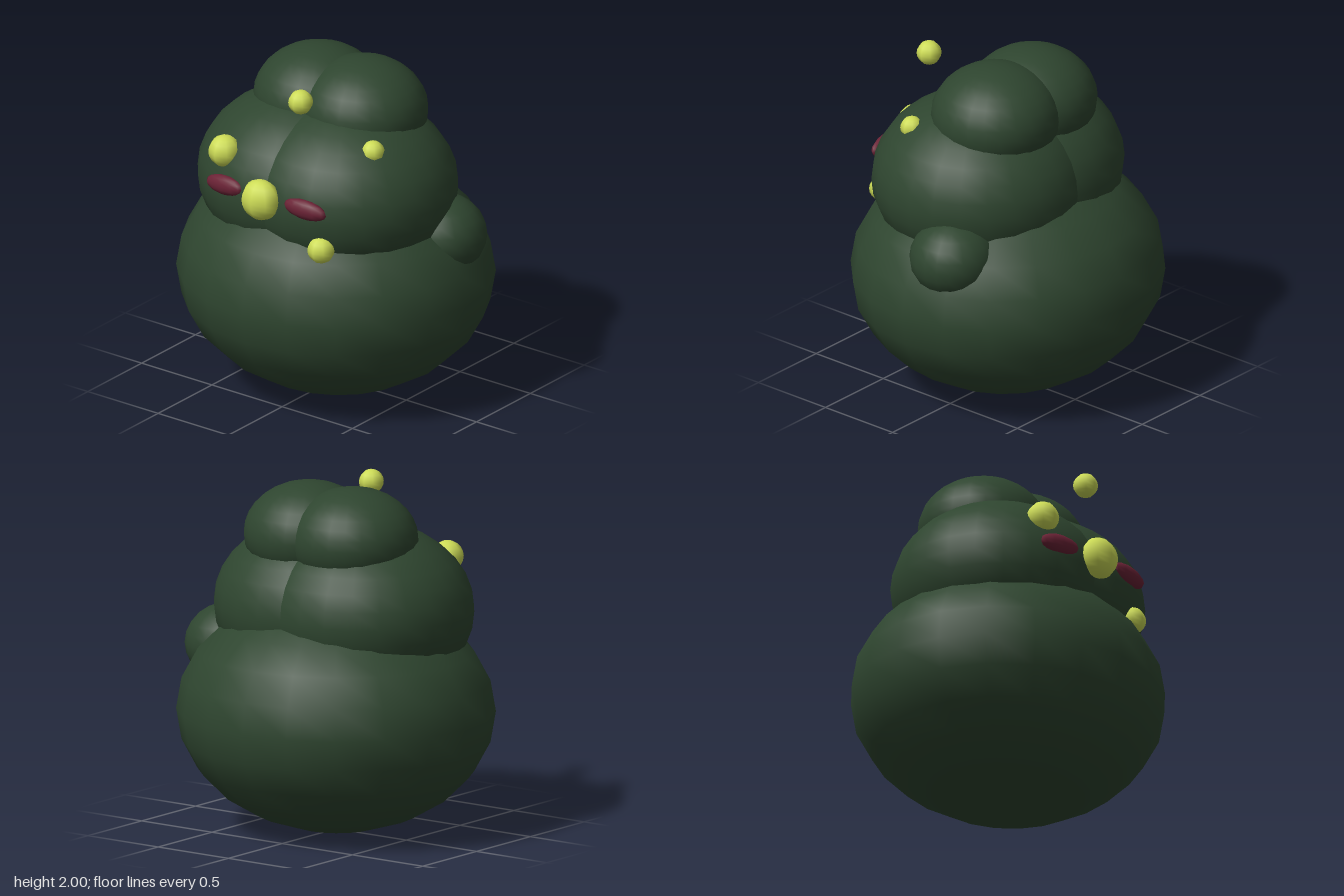
import * as THREE from 'three';

export function createModel() {
  const model = new THREE.Group();
  model.name = 'blobCreature';

  const material = (name, color) => {
    const m = new THREE.MeshStandardMaterial({ color });
    m.name = name;
    return m;
  };
  const green = material('darkGreen', 0x2e452f);
  const yellow = material('eyeYellow', 0xcddc56);
  const maroon = material('lipMaroon', 0x6a2235);

  // Smooth ellipsoid with the given radii
  const blob = (name, mat, [x, y, z], [rx, ry, rz], w = 20, h = 12) => {
    const geometry = new THREE.SphereGeometry(1, w, h);
    geometry.scale(rx, ry, rz);
    const mesh = new THREE.Mesh(geometry, mat);
    mesh.name = name;
    mesh.position.set(x, y, z);
    model.add(mesh);
    return mesh;
  };

  // Stacked slimy body
  blob('lowerBody', green, [0, 0.69, 0], [0.92, 0.69, 0.875]);
  blob('sideBump', green, [0.64, 1.02, -0.15], [0.26, 0.23, 0.25]);

  // Paired lobes, each pair meeting in a shallow centre crease, and the lips
  for (const side of [-1, 1]) {
    const label = side > 0 ? 'left' : 'right';
    blob(label + 'MiddleLobe', green, [0.15 * side, 1.28, 0.075], [0.625, 0.5, 0.615], 24, 16);
    blob(label + 'TopLobe', green, [0.155 * side, 1.7, -0.045], [0.375, 0.3, 0.37], 24, 16);
    const lip = blob(label + 'Lip', maroon, [0.285 * side, 1.35, 0.66], [0.14, 0.058, 0.042], 12, 8);
    lip.rotation.set(0, 0.1 * side, -0.07 * side);
  }

  // Scattered eyes, including one floating ahead of the top
  blob('centreEye', yellow, [0, 1.35, 0.7], [0.12, 0.12, 0.095], 8, 12);
  const eyes = [
    ['upperRightEye', -0.345, 1.52, 0.585, 0.093],
    ['floatingEye', 0.12, 1.91, 0.485, 0.071],
    ['upperLeftEye', 0.49, 1.635, 0.295, 0.066],
    ['lowerLeftEye', 0.367, 1.11, 0.615, 0.08],
  ];
  for (const [name, x, y, z, r] of eyes) blob(name, yellow, [x, y, z], [r, r, r], 8, 10);

  return model;
}
